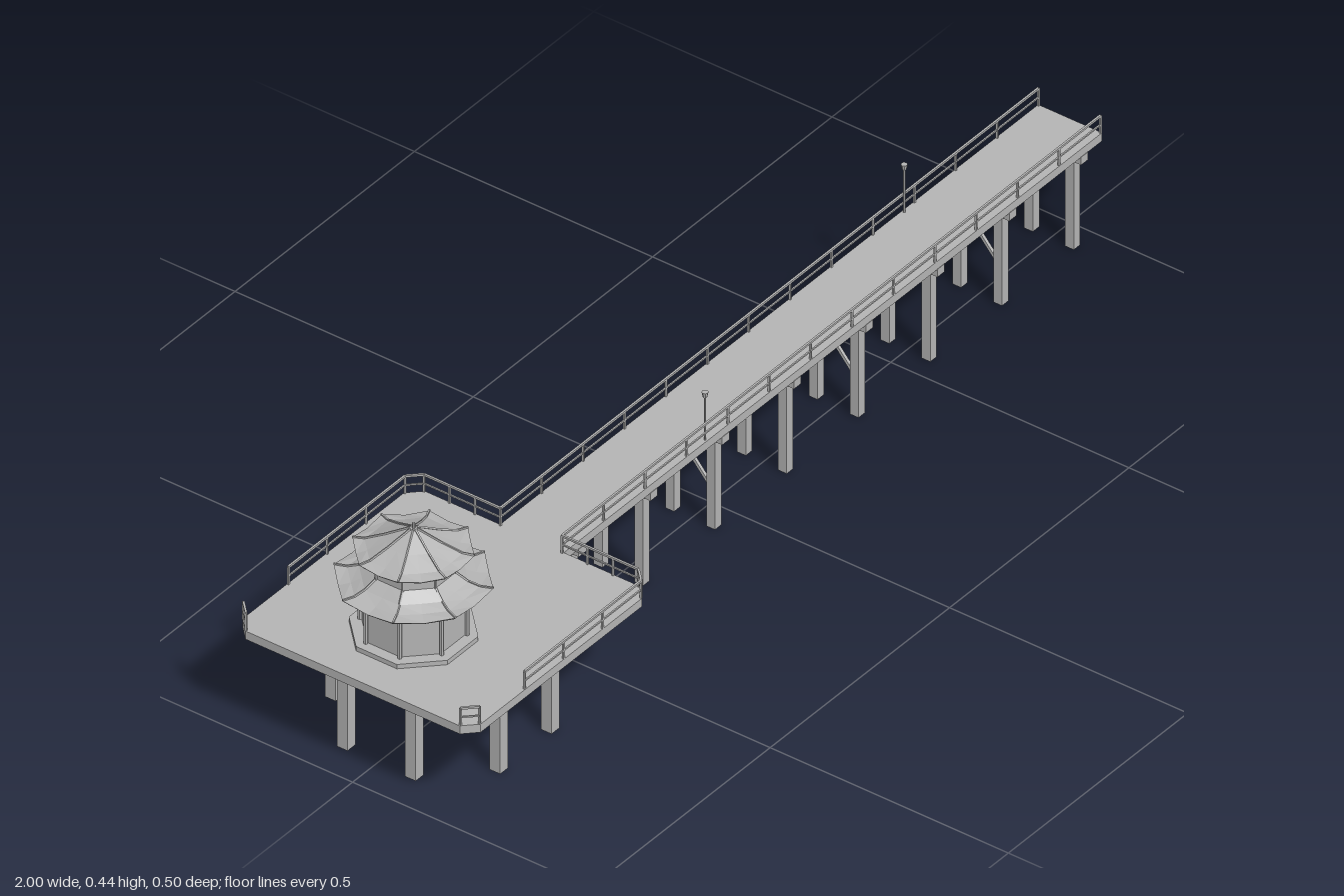
import * as THREE from 'three';

export function createModel() {
  const model = new THREE.Group();
  model.name = 'pier';
  const stone = new THREE.MeshStandardMaterial({ color: 0xb4b4b4, flatShading: true });
  stone.name = 'stone grey';

  const add = (geo, name, x = 0, y = 0, z = 0, parent = model) => {
    const mesh = new THREE.Mesh(geo, stone);
    mesh.name = name;
    mesh.position.set(x, y, z);
    parent.add(mesh);
    return mesh;
  };
  const box = (name, w, h, d, x, y, z, parent) =>
    add(new THREE.BoxGeometry(w, h, d), name, x, y, z, parent);
  // square bar between two points
  const bar = (name, a, b, t, parent) => {
    const dir = b.clone().sub(a);
    const mesh = add(new THREE.BoxGeometry(t, t, dir.length()), name, 0, 0, 0, parent);
    mesh.position.copy(a).add(b).multiplyScalar(0.5);
    mesh.quaternion.setFromUnitVectors(new THREE.Vector3(0, 0, 1), dir.normalize());
    return mesh;
  };
  // eight-sided drum with flat sides on the axes
  const octagon = (name, r, y0, y1, parent) =>
    add(new THREE.CylinderGeometry(r, r, y1 - y0, 8, 1, false, Math.PI / 8), name, 0, (y0 + y1) / 2, 0, parent);
  const V = (x, y, z) => new THREE.Vector3(x, y, z);

  // Decks
  const deckY = 0.215;
  const plan = [[-1, -0.225], [-0.975, -0.25], [-0.525, -0.25], [-0.5, -0.225],
    [-0.5, 0.225], [-0.525, 0.25], [-0.975, 0.25], [-1, 0.225]];
  const platform = new THREE.ExtrudeGeometry(
    new THREE.Shape(plan.map(([x, z]) => new THREE.Vector2(x, z))),
    { depth: 0.017, bevelEnabled: false });
  platform.rotateX(Math.PI / 2);
  add(platform, 'platformDeck', 0, deckY, 0);
  box('walkwayDeck', 1.5, 0.017, 0.134, 0.25, deckY - 0.0085, 0);

  // Platform piles in a ring, with two long beams
  for (let i = 0; i < 8; i++) {
    const a = Math.PI / 8 + i * Math.PI / 4;
    box('platformPile', 0.022, 0.198, 0.022, -0.75 + 0.187 * Math.cos(a), 0.099, 0.187 * Math.sin(a));
  }
  for (const s of [-1, 1]) box('platformBeam', 0.39, 0.02, 0.023, -0.75, 0.188, s * 0.122);

  // Walkway bents, every other one cross-braced
  for (let i = 0; i < 8; i++) {
    const x = -0.45 + 0.2 * i;
    const bent = new THREE.Group();
    bent.name = 'walkwayBent';
    model.add(bent);
    box('capBeam', 0.02, 0.016, 0.136, x, 0.191, 0, bent);
    for (const s of [-1, 1]) {
      box('pile', 0.018, 0.183, 0.018, x, 0.0915, s * 0.043, bent);
      if (i % 2 === 0) bar('crossBrace', V(x + s * 0.003, 0.087, -s * 0.036), V(x + s * 0.003, 0.17, s * 0.036), 0.006, bent);
    }
  }

  // Railings: posts, middle rail and top rail
  const railing = (x0, z0, x1, z1, bays) => {
    const g = new THREE.Group();
    g.name = 'railing';
    model.add(g);
    for (const [y, t] of [[0.2505, 0.004], [0.232, 0.0028]])
      bar('rail', V(x0, y, z0), V(x1, y, z1), t, g);
    for (let i = 0; i <= bays; i++) {
      const k = i / bays;
      box('post', 0.0036, 0.036, 0.0036, x0 + (x1 - x0) * k, deckY + 0.018, z0 + (z1 - z0) * k, g);
    }
  };
  for (const s of [-1, 1]) {
    railing(-0.502, s * 0.065, 0.998, s * 0.065, 13);
    railing(-0.502, s * 0.065, -0.502, s * 0.225, 3);
    railing(-0.502, s * 0.225, -0.525, s * 0.248, 1);
    railing(-0.525, s * 0.248, -0.85, s * 0.248, 3);
    railing(-0.975, s * 0.248, -0.998, s * 0.225, 1);
  }

  // Lamps
  for (const [x, z] of [[-0.1, 0.062], [0.62, -0.062]]) {
    add(new THREE.CylinderGeometry(0.0022, 0.0022, 0.09, 6), 'lampPole', x, deckY + 0.045, z);
    add(new THREE.CylinderGeometry(0.006, 0.004, 0.01, 8), 'lampHead', x, deckY + 0.094, z);
  }

  // Pavilion
  const pav = new THREE.Group();
  pav.name = 'pavilion';
  pav.position.set(-0.83, 0, 0);
  model.add(pav);
  octagon('plinth', 0.112, deckY, 0.224, pav);
  octagon('lowerWall', 0.09, 0.224, 0.32, pav);
  octagon('upperWall', 0.073, 0.32, 0.387, pav);
  for (let i = 0; i < 8; i++) {
    const a = Math.PI / 8 + i * Math.PI / 4;
    const c = Math.cos(a), s = Math.sin(a);
    add(new THREE.CylinderGeometry(0.004, 0.004, 0.094, 6), 'column', 0.093 * c, 0.271, 0.093 * s, pav);
    add(new THREE.CylinderGeometry(0.0025, 0.0025, 0.04, 6), 'upperColumn', 0.073 * c, 0.365, 0.073 * s, pav);
  }

  // Eight-sided roof with raised corners and ridges; profile runs from underside to top
  const roof = (name, profile, lift) => {
    const rMax = Math.max(...profile.map(p => p[0]));
    const raise = r => lift * Math.pow(r / rMax, 6);
    const geo = new THREE.LatheGeometry(profile.map(p => new THREE.Vector2(...p)), 16, Math.PI / 8);
    const pos = geo.attributes.position, n = profile.length;
    const squash = Math.cos(Math.PI / 8);
    for (let i = 0; i < pos.count; i++) {
      const x = pos.getX(i), z = pos.getZ(i);
      if (Math.floor(i / n) % 2) pos.setXYZ(i, x * squash, pos.getY(i), z * squash);
      else pos.setY(i, pos.getY(i) + raise(Math.hypot(x, z)));
    }
    geo.computeVertexNormals();
    add(geo, name, 0, 0, 0, pav);
    const top = profile.slice(2);
    for (let k = 0; k < 8; k++) {
      const a = Math.PI / 8 + k * Math.PI / 4;
      const pts = top.map(([r, y]) => V(r * Math.cos(a), y + raise(r) + 0.001, r * Math.sin(a)));
      for (let j = 1; j < pts.length; j++) bar('roofRidge', pts[j - 1], pts[j], 0.003, pav);
    }
  };
  roof('lowerRoof', [[0.08, 0.315], [0.134, 0.318], [0.1385, 0.322], [0.115, 0.326], [0.095, 0.334], [0.072, 0.35]], 0.006);
  roof('upperRoof', [[0.06, 0.379], [0.103, 0.382], [0.106, 0.385], [0.085, 0.39], [0.05, 0.406], [0.006, 0.428]], 0.005);

  // Finial
  octagon('finialBase', 0.008, 0.421, 0.429, pav);
  octagon('finialSpike', 0.003, 0.429, 0.439, pav);
  return model;
}
